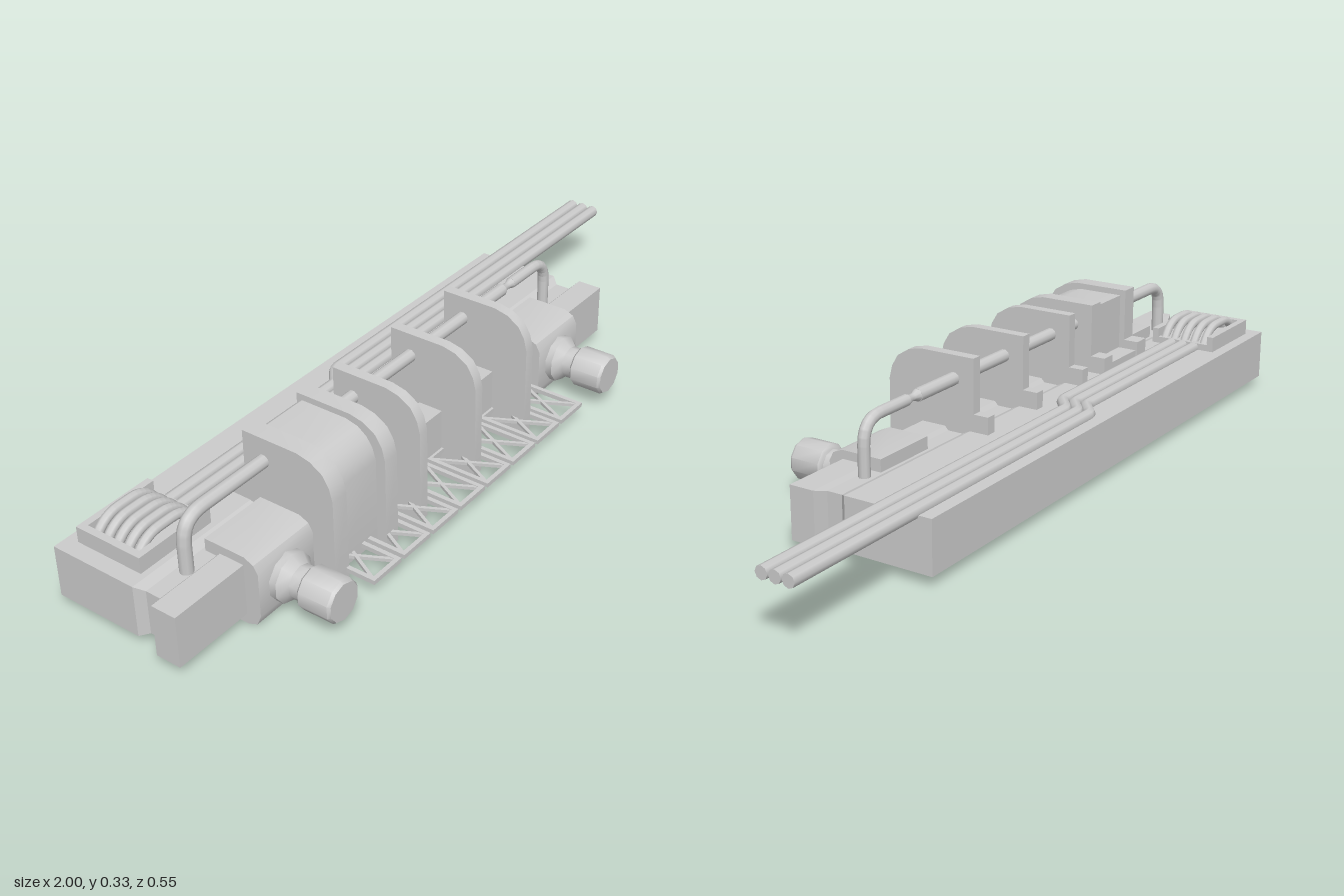
import * as THREE from 'three';
import { toCreasedNormals } from 'three/addons/utils/BufferGeometryUtils.js';

const material = new THREE.MeshStandardMaterial({ color: 0xcccccc });

function add(parent, name, geometry, x = 0, y = 0, z = 0) {
  const mesh = new THREE.Mesh(geometry, material);
  mesh.name = name;
  mesh.position.set(x, y, z);
  parent.add(mesh);
  return mesh;
}

const box = (parent, name, x0, x1, y0, y1, z0, z1) =>
  add(parent, name, new THREE.BoxGeometry(x1 - x0, y1 - y0, z1 - z0), (x0 + x1) / 2, (y0 + y1) / 2, (z0 + z1) / 2);

// Side profile given as [z, y] points, extruded from x0 to x1
function slab(parent, name, profile, x0, x1) {
  const shape = new THREE.Shape(profile.map(([z, y]) => new THREE.Vector2(-z, y)));
  const g = new THREE.ExtrudeGeometry(shape, { depth: x1 - x0, bevelEnabled: false });
  g.rotateY(Math.PI / 2);
  return add(parent, name, toCreasedNormals(g, 0.6), x0);
}

// Rectangular sections [z, x0, x1, y0, y1] joined from back to front
function loft(sections) {
  const pos = [], index = [];
  for (const [z, x0, x1, y0, y1] of sections) pos.push(x0, y0, z, x1, y0, z, x1, y1, z, x0, y1, z);
  for (let i = 0; i < sections.length - 1; i++) {
    for (let j = 0; j < 4; j++) {
      const a = i * 4 + j, b = i * 4 + (j + 1) % 4;
      index.push(a, b, b + 4, a, b + 4, a + 4);
    }
  }
  const n = (sections.length - 1) * 4;
  index.push(0, 2, 1, 0, 3, 2, n, n + 1, n + 2, n, n + 2, n + 3);
  const g = new THREE.BufferGeometry();
  g.setAttribute('position', new THREE.Float32BufferAttribute(pos, 3));
  g.setIndex(index);
  const flat = g.toNonIndexed();
  flat.computeVertexNormals();
  return flat;
}

// Tube through points, with each inner corner rounded by radius bend
function pipe(parent, name, points, radius, bend, sides = 10) {
  const p = points.map(q => new THREE.Vector3(...q));
  const pts = [p[0]];
  for (let i = 1; i < p.length - 1; i++) {
    const a = p[i].clone().add(p[i - 1].clone().sub(p[i]).setLength(bend));
    const b = p[i].clone().add(p[i + 1].clone().sub(p[i]).setLength(bend));
    pts.push(...new THREE.QuadraticBezierCurve3(a, p[i], b).getPoints(6));
  }
  pts.push(p[p.length - 1]);
  const path = new THREE.CurvePath();
  for (let i = 1; i < pts.length; i++) path.add(new THREE.LineCurve3(pts[i - 1], pts[i]));
  add(parent, name, new THREE.TubeGeometry(path, 160, radius, sides));
  // end caps
  for (const [end, next] of [[p[0], p[1]], [p[p.length - 1], p[p.length - 2]]]) {
    const cap = add(parent, name + 'Cap', new THREE.CircleGeometry(radius, sides), end.x, end.y, end.z);
    cap.lookAt(end.clone().multiplyScalar(2).sub(next));
  }
}

// Mounting block with a stepped nozzle facing forward
function valve(parent, x) {
  const group = new THREE.Group();
  group.name = 'valve';
  group.position.x = x;
  parent.add(group);
  slab(group, 'valveBlock', [[-0.02, 0], [0.087, 0], [0.112, 0.01], [0.123, 0.036], [0.123, 0.145],
    [0.112, 0.165], [0.087, 0.176], [-0.02, 0.176]], -0.088, 0.088);
  const profile = [[0.059, 0.12], [0.059, 0.14], [0.04, 0.16], [0.04, 0.185], [0.046, 0.187],
    [0.051, 0.192], [0.051, 0.268], [0.046, 0.275], [0, 0.275]].map(p => new THREE.Vector2(...p));
  const g = new THREE.LatheGeometry(profile, 10);
  g.rotateX(Math.PI / 2);
  add(group, 'nozzle', toCreasedNormals(g, 0.7), 0, 0.09, 0);
}

export function createModel() {
  const model = new THREE.Group();
  model.name = 'weaponRail';

  // Grooved main beam
  add(model, 'mainBeam', loft([
    [-0.275, -0.98, 0.61, 0.026, 0.155], [-0.05, -0.98, 0.61, 0.026, 0.155],
    [-0.028, -0.965, 0.59, 0.034, 0.145], [0.011, -0.965, 0.59, 0.034, 0.145],
    [0.021, -1, 0.625, 0.026, 0.155], [0.085, -1, 0.625, 0.026, 0.155]]));

  valve(model, -0.71);
  valve(model, 0.355);

  // Rib plates: two thick ones around the drum, then three thin ones
  const rib = [[-0.1, 0.01], [0.18, 0.01], [0.18, 0.245], [0.172, 0.277], [0.155, 0.305], [0.123, 0.325],
    [0.087, 0.333], [-0.06, 0.333], [-0.06, 0.198], [-0.1, 0.198]];
  for (const [x, w] of [[-0.598, 0.046], [-0.421, 0.042], [-0.302, 0.027], [-0.086, 0.027], [0.127, 0.027]]) {
    slab(model, 'ribPlate', rib, x - w / 2, x + w / 2);
  }

  // Drum between the thick ribs, with a saddle behind it
  slab(model, 'drum', [[-0.045, 0.025], [0.155, 0.025], [0.155, 0.24], [0.147, 0.268], [0.132, 0.292],
    [0.108, 0.31], [0.075, 0.318], [-0.045, 0.318]], -0.59, -0.43);
  box(model, 'drumSaddle', -0.59, -0.43, 0.14, 0.175, -0.095, -0.04);

  // Overhead pipe with a necked coupling
  const pz = -0.005, py = 0.276;
  pipe(model, 'overheadPipe', [[-0.87, 0.13, pz], [-0.87, py, pz], [0.285, py, pz]], 0.016, 0.06);
  pipe(model, 'outletPipe', [[0.325, py, pz], [0.482, py, pz], [0.482, 0.13, pz]], 0.014, 0.06);
  const neck = new THREE.LatheGeometry([[0.016, 0.283], [0.009, 0.3], [0.009, 0.312], [0.014, 0.327]]
    .map(p => new THREE.Vector2(...p)), 10);
  neck.rotateZ(-Math.PI / 2);
  add(model, 'pipeCoupling', neck, 0, py, pz);

  // Cross-braced frames along the front
  const depth = 0.175, width = 0.096, bar = 0.011, zMid = 0.168;
  for (let i = 0; i < 8; i++) {
    const frame = new THREE.Group();
    frame.name = 'bracedFrame';
    frame.position.set(-0.537 + i * 0.107, 0.046, zMid);
    model.add(frame);
    for (const s of [-1, 1]) {
      add(frame, 'sideBar', new THREE.BoxGeometry(bar, 0.011, depth), s * (width - bar) / 2);
      add(frame, 'crossBar', new THREE.BoxGeometry(width, 0.011, bar), 0, 0, s * (depth - bar) / 2);
      const w = width - bar, d = depth - bar;
      add(frame, 'diagonal', new THREE.BoxGeometry(0.008, 0.008, Math.hypot(w, d))).rotation.y = s * Math.atan2(w, d);
    }
  }

  // Three cables with a sideways step
  for (let i = 0; i < 3; i++) {
    const z = -0.162 - i * 0.033;
    pipe(model, 'cable', [[-0.76, 0.159, z + 0.04], [-0.155, 0.159, z + 0.04], [-0.105, 0.159, z], [1, 0.159, z]],
      0.0155, 0.012, 8);
  }

  // Open tray holding five arched leads
  box(model, 'trayBackWall', -0.94, -0.73, 0.15, 0.195, -0.245, -0.228);
  box(model, 'trayFrontWall', -0.94, -0.73, 0.15, 0.195, -0.082, -0.065);
  box(model, 'trayEndWall', -0.94, -0.922, 0.15, 0.195, -0.245, -0.065);
  box(model, 'trayFloor', -0.94, -0.73, 0.15, 0.172, -0.245, -0.065);
  for (let i = 0; i < 5; i++) {
    const z = -0.095 - i * 0.029;
    pipe(model, 'archedLead', [[-0.925, 0.16, z], [-0.89, 0.207, z], [-0.775, 0.207, z], [-0.74, 0.16, z]],
      0.0115, 0.04, 8);
  }

  return model;
}
